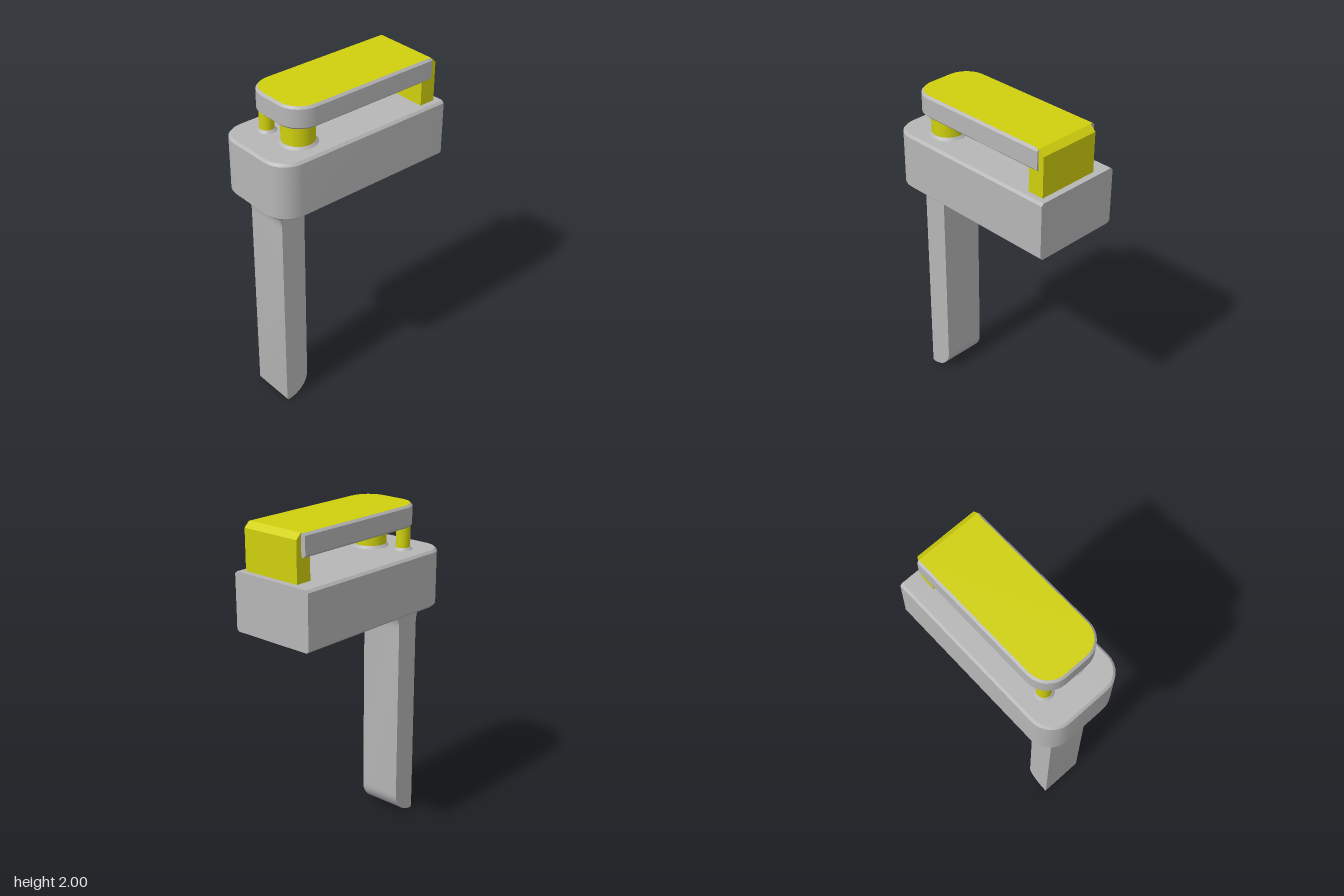
import * as THREE from 'three';
import { toCreasedNormals } from 'three/addons/utils/BufferGeometryUtils.js';

const grey = new THREE.MeshStandardMaterial({ color: 0xb6b6b6 });
grey.name = 'grey';
const yellow = new THREE.MeshStandardMaterial({ color: 0xd0d00e });
yellow.name = 'yellow';

// Outline with a square back and rounded front corners, drawn in from the sides and front by inset
function outline(x0, x1, back, front, r, inset) {
  const pts = [[x0 + inset, back]];
  const steps = 8;
  for (const [cx, start] of [[x0 + r, Math.PI], [x1 - r, Math.PI / 2]]) {
    for (let i = 0; i <= steps; i++) {
      const a = start - (i / steps) * Math.PI / 2;
      pts.push([cx + Math.cos(a) * (r - inset), front - r + Math.sin(a) * (r - inset)]);
    }
  }
  pts.push([x1 - inset, back]);
  return pts;
}

// Bevelled slab with a flat back; group 0 is the sides and bottom, group 1 the top face
function slab(x0, x1, y0, y1, back, front, r, bevel) {
  const layers = [[y0, bevel], [y0 + bevel, 0], [y1 - bevel, 0], [y1, bevel]].map(([y, inset]) =>
    outline(x0, x1, back, front, r, inset).map(([x, z]) => [x, y, z]));
  const pos = [];
  const tri = (a, b, c) => pos.push(...a, ...b, ...c);
  const n = layers[0].length;
  for (let k = 0; k < 3; k++) {
    for (let j = 0; j < n; j++) {
      const m = (j + 1) % n;
      const lo = layers[k], hi = layers[k + 1];
      tri(lo[j], lo[m], hi[m]);
      tri(lo[j], hi[m], hi[j]);
    }
  }
  for (let j = 1; j < n - 1; j++) tri(layers[0][0], layers[0][j + 1], layers[0][j]);
  const split = pos.length / 3;
  for (let j = 1; j < n - 1; j++) tri(layers[3][0], layers[3][j], layers[3][j + 1]);
  const geo = new THREE.BufferGeometry();
  geo.setAttribute('position', new THREE.Float32BufferAttribute(pos, 3));
  geo.addGroup(0, split, 0);
  geo.addGroup(split, pos.length / 3 - split, 1);
  return toCreasedNormals(geo, 0.5);
}

// Side profile (z, y) extruded across x
function sideExtrude(shape, x0, x1) {
  const geo = new THREE.ExtrudeGeometry(shape, { depth: x1 - x0, bevelEnabled: false, curveSegments: 12 });
  geo.rotateY(-Math.PI / 2);
  geo.translate(x1, 0, 0);
  return toCreasedNormals(geo, 0.5);
}

export function createModel() {
  const model = new THREE.Group();
  const add = (name, geo, mat) => {
    const mesh = new THREE.Mesh(geo, mat);
    mesh.name = name;
    model.add(mesh);
    return mesh;
  };

  // Main body and raised top plate
  add('body', slab(-0.273, 0.273, 1.382, 1.728, -0.585, 0.585, 0.14, 0.014), [grey, grey]);
  add('topPlate', slab(-0.188, 0.236, 1.868, 2, -0.512, 0.455, 0.14, 0.013), [grey, yellow]);

  // Leg with flared top and rounded foot
  const leg = new THREE.Shape();
  leg.moveTo(0.47, 0);
  leg.quadraticCurveTo(0.483, 0, 0.483, 0.015);
  leg.lineTo(0.483, 1.25);
  leg.bezierCurveTo(0.483, 1.32, 0.52, 1.37, 0.575, 1.384);
  leg.lineTo(0.195, 1.384);
  leg.bezierCurveTo(0.268, 1.384, 0.327, 1.325, 0.327, 1.25);
  leg.lineTo(0.327, 0.14);
  leg.bezierCurveTo(0.327, 0.065, 0.39, 0.005, 0.47, 0);
  add('leg', sideExtrude(leg, -0.138, 0.135), grey);

  // Rear support block with a chamfered top back edge
  const block = new THREE.Shape();
  block.moveTo(-0.447, 1.72);
  block.lineTo(-0.447, 1.99);
  block.lineTo(-0.512, 2);
  block.lineTo(-0.547, 1.967);
  block.lineTo(-0.547, 1.72);
  block.closePath();
  add('rearBlock', sideExtrude(block, -0.159, 0.227), yellow);

  // Posts between body and plate, each with a small flared collar
  for (const [name, x, z, r] of [['largePost', 0.088, 0.32, 0.095], ['smallPost', -0.117, 0.372, 0.042]]) {
    add(name, new THREE.CylinderGeometry(r, r, 0.16, 32), yellow).position.set(x, 1.8, z);
    add(name + 'Collar', new THREE.CylinderGeometry(r + 0.001, r + 0.015, 0.016, 32), grey)
      .position.set(x, 1.735, z);
  }

  return model;
}
